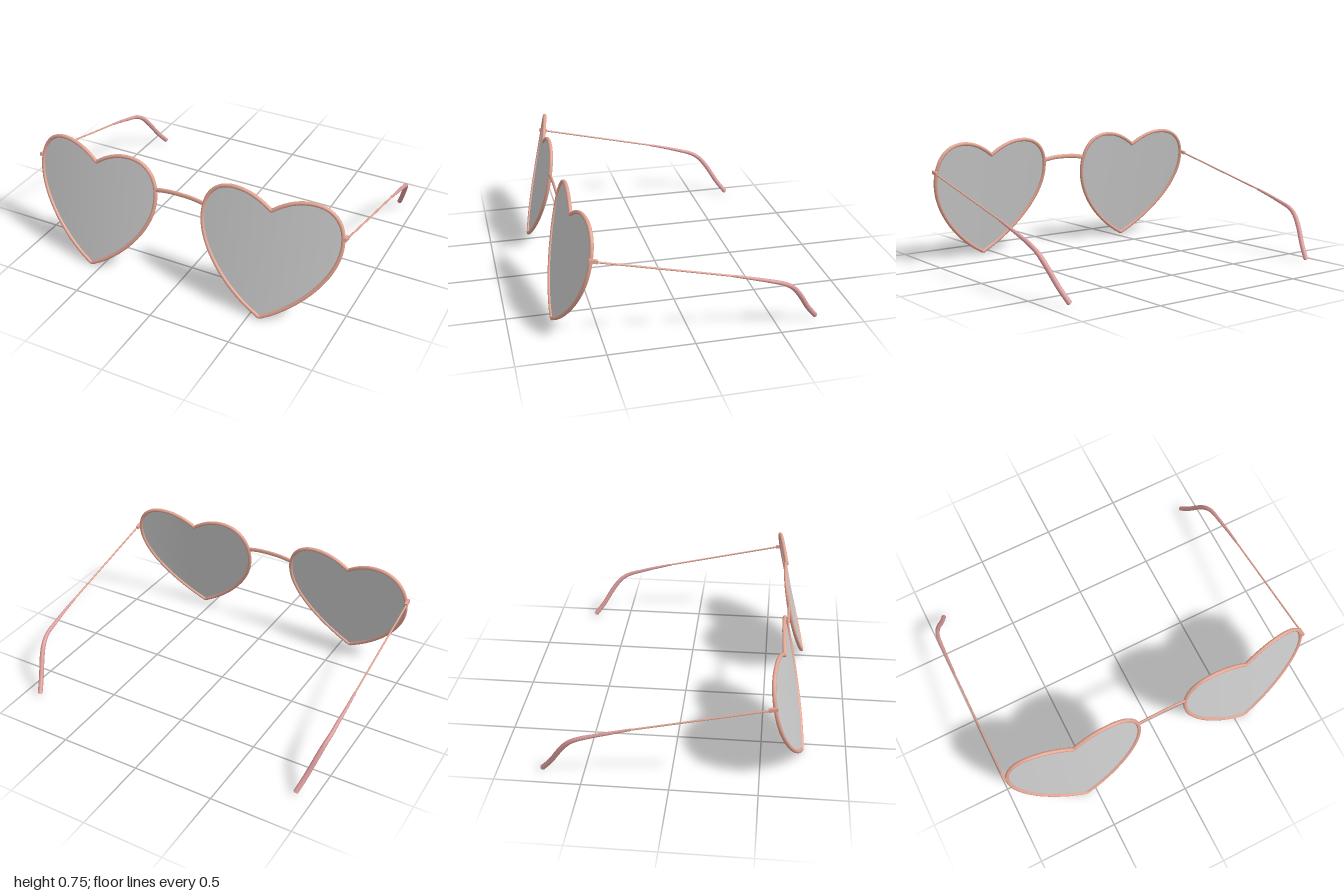
import * as THREE from 'three';

const V = (x, y, z) => new THREE.Vector3(x, y, z);
const metal = new THREE.MeshStandardMaterial({ color: 0xe3a593 });
const sleeve = new THREE.MeshStandardMaterial({ color: 0xdc9c9c });
const glass = new THREE.MeshStandardMaterial({ color: 0xcccccc, side: THREE.DoubleSide });
const CENTRE = 0.565; // x of each lens centre

// Closed heart outline, clockwise from the notch, x measured from the lens centre
function heartOutline() {
  const shape = new THREE.Shape();
  shape.moveTo(0, 0.663);
  shape.bezierCurveTo(0.07, 0.715, 0.14, 0.748, 0.225, 0.748);
  shape.bezierCurveTo(0.34, 0.748, 0.411, 0.67, 0.411, 0.54);
  shape.bezierCurveTo(0.411, 0.32, 0.17, 0.1, 0, 0.018);
  shape.bezierCurveTo(-0.17, 0.1, -0.411, 0.32, -0.411, 0.54);
  shape.bezierCurveTo(-0.411, 0.67, -0.34, 0.748, -0.225, 0.748);
  shape.bezierCurveTo(-0.14, 0.748, -0.07, 0.715, 0, 0.663);
  return shape.getPoints(20);
}

// Places a lens point on the tilted, wrapped front surface
function onFace(x, y, s) {
  const out = x * s;
  return V(s * CENTRE + x, y, 0.743 - 0.206 * (y - 0.01) - 0.071 * out - 0.155 * out * out);
}

// Tube whose radius follows radiusAt(t), pinched shut at both ends
function taperedTube(curve, n, sides, radiusAt) {
  const geo = new THREE.TubeGeometry(curve, n, 1, sides, false);
  const pos = geo.attributes.position;
  const p = new THREE.Vector3();
  for (let i = 0; i <= n; i++) {
    const c = curve.getPointAt(i / n);
    const r = i === 0 || i === n ? 0.0001 : radiusAt(i / n);
    for (let j = 0; j <= sides; j++) {
      const k = i * (sides + 1) + j;
      p.fromBufferAttribute(pos, k).sub(c).multiplyScalar(r).add(c);
      pos.setXYZ(k, p.x, p.y, p.z);
    }
  }
  return geo;
}

function part(name, geo, mat) {
  const mesh = new THREE.Mesh(geo, mat);
  mesh.name = name;
  return mesh;
}

// Lens: a grid wrapped round the outline, rings shrinking to the middle
function lensGeometry(outline, s) {
  const n = outline.length - 1;
  const geo = new THREE.PlaneGeometry(1, 1, n, 8);
  const { position, uv } = geo.attributes;
  for (let i = 0; i < position.count; i++) {
    const o = outline[Math.round(uv.getX(i) * n)];
    const r = uv.getY(i);
    const p = onFace(o.x * r, 0.42 + (o.y - 0.42) * r, s);
    position.setXYZ(i, p.x, p.y, p.z);
  }
  geo.computeVertexNormals();
  return geo;
}

export function createModel() {
  const model = new THREE.Group();
  const outline = heartOutline();

  for (const s of [1, -1]) {
    const side = s > 0 ? 'left' : 'right';

    // Lens and wire rim
    model.add(part(side + 'Lens', lensGeometry(outline, s), glass));
    const rimPath = new THREE.CatmullRomCurve3(
      outline.slice(0, -1).map((o) => onFace(o.x, o.y, s)), true);
    model.add(part(side + 'Rim', new THREE.TubeGeometry(rimPath, 240, 0.0115, 10, true), metal));

    // Hinge block at the outer edge of the rim
    const hinge = part(side + 'Hinge', new THREE.BoxGeometry(0.018, 0.02, 0.05), metal);
    hinge.position.set(s * 0.987, 0.583, 0.56);
    hinge.rotation.x = -0.2;
    model.add(hinge);

    // Thin temple wire
    const wire = new THREE.LineCurve3(V(s * 0.99, 0.582, 0.56), V(s * 0.99, 0.399, -0.22));
    model.add(part(side + 'Temple', new THREE.TubeGeometry(wire, 1, 0.0055, 10), metal));

    // Thickening ear sleeve, bent down and inwards
    const ear = new THREE.CatmullRomCurve3([
      V(s * 0.99, 0.404, -0.2), V(s * 0.99, 0.374, -0.31), V(s * 0.988, 0.345, -0.41),
      V(s * 0.985, 0.313, -0.505), V(s * 0.974, 0.277, -0.56), V(s * 0.955, 0.212, -0.613),
      V(s * 0.922, 0.105, -0.68), V(s * 0.893, 0.024, -0.743)]);
    model.add(part(side + 'EarSleeve', taperedTube(ear, 100, 14,
      (t) => 0.007 + 0.008 * Math.min(1, t * 1.6)), sleeve));
  }

  // Arched bridge, a wire flattened front to back
  const arch = new THREE.CatmullRomCurve3([
    V(-0.152, 0.6, 0), V(-0.08, 0.611, 0), V(0, 0.614, 0), V(0.08, 0.611, 0), V(0.152, 0.6, 0)]);
  const bridge = part('bridge', new THREE.TubeGeometry(arch, 32, 0.014, 12), metal);
  bridge.scale.z = 0.55;
  bridge.position.z = 0.628;
  model.add(bridge);

  return model;
}
